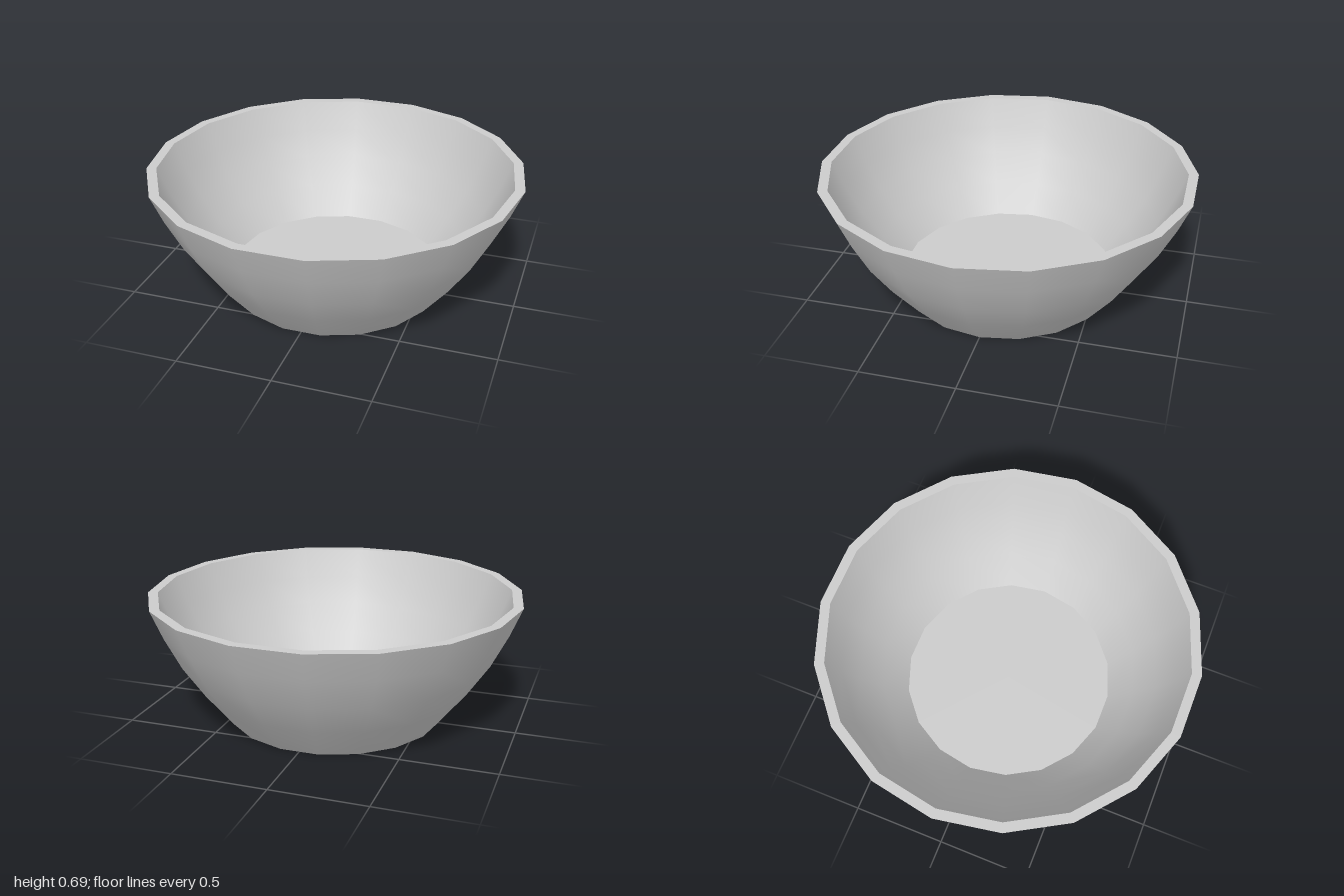
import * as THREE from 'three';

const SIDES = 18;

// Profiles run bottom centre -> outside -> rim -> inside -> floor centre,
// split where the edges are sharp so each part keeps its own smooth normals.
const PROFILES = {
  base: [[0, 0], [0.585, 0]],
  outerWall: [[0.585, 0], [0.733, 0.185], [0.848, 0.355], [0.936, 0.53], [1, 0.685]],
  rim: [[1, 0.685], [0.948, 0.685]],
  innerWall: [[0.948, 0.685], [0.885, 0.53], [0.805, 0.38], [0.7, 0.23], [0.575, 0.08]],
  floor: [[0.575, 0.08], [0, 0.08]],
};

export function createModel() {
  const bowl = new THREE.Group();
  bowl.name = 'bowl';
  const material = new THREE.MeshStandardMaterial({ color: 0xcccccc });

  for (const [name, points] of Object.entries(PROFILES)) {
    const profile = points.map(([r, y]) => new THREE.Vector2(r, y));
    // A corner of the polygon points along +x
    const geometry = new THREE.LatheGeometry(profile, SIDES, Math.PI / 2);
    const mesh = new THREE.Mesh(geometry, material);
    mesh.name = name;
    bowl.add(mesh);
  }
  return bowl;
}
